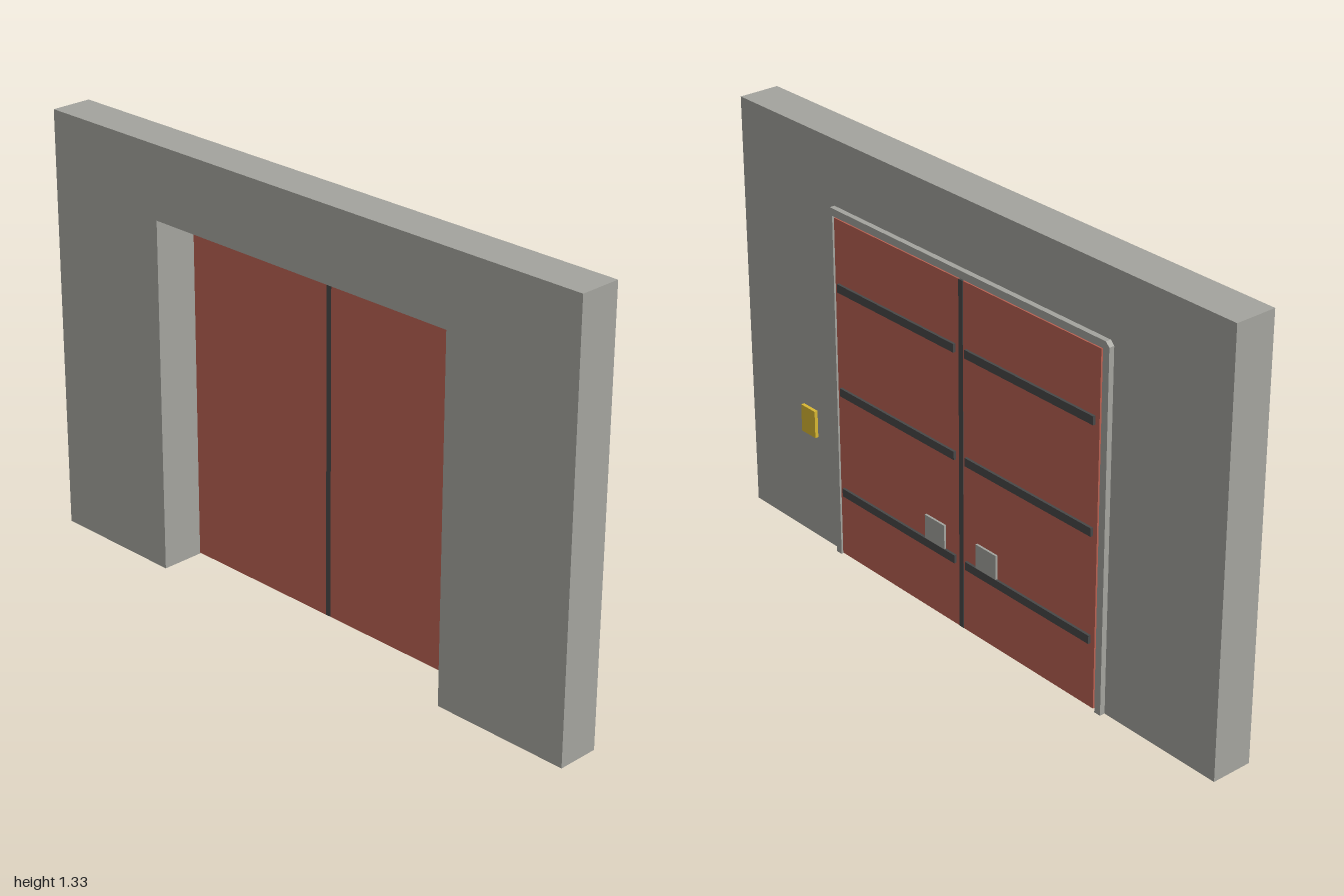
import * as THREE from 'three';

const material = (name, color) => {
  const m = new THREE.MeshStandardMaterial({ color });
  m.name = name;
  return m;
};

// Box given by its min/max extents
function slab(name, mat, [x0, x1], [y0, y1], [z0, z1]) {
  const mesh = new THREE.Mesh(new THREE.BoxGeometry(x1 - x0, y1 - y0, z1 - z0), mat);
  mesh.position.set((x0 + x1) / 2, (y0 + y1) / 2, (z0 + z1) / 2);
  mesh.name = name;
  return mesh;
}

// Flat outline in the z-y plane, extruded along +x from x0
function upright(name, mat, outline, x0, depth) {
  const shape = new THREE.Shape(outline.map(([z, y]) => new THREE.Vector2(z, y)));
  const geo = new THREE.ExtrudeGeometry(shape, { depth, bevelEnabled: false });
  geo.rotateY(Math.PI / 2).translate(x0, 0, 0);
  const mesh = new THREE.Mesh(geo, mat);
  mesh.name = name;
  return mesh;
}

export function createModel() {
  const concrete = material('concrete grey', 0xa4a49e);
  const red = material('door red', 0xb96152);
  const dark = material('dark rubber', 0x484848);
  const yellow = material('panel yellow', 0xd8b732);
  const group = new THREE.Group();
  group.name = 'slidingDoorWall';

  // Wall with a doorway open to the floor
  const half = 0.558, top = 1.107;
  const doorway = [[-half, 0], [-half, top], [half, top], [half, 0]];
  group.add(upright('wall', concrete,
    [[-1, 0], ...doorway, [1, 0], [1, 1.333], [-1, 1.333]], -0.08, 0.131));

  // Raised trim round the doorway with clipped upper corners
  const w = 0.581, t = 1.13, c = 0.013;
  group.add(upright('doorTrim', concrete,
    [[-w, 0], ...doorway, [w, 0], [w, t - c], [w - c, t], [c - w, t], [-w, t - c]], 0.051, 0.017));

  // Two mirrored door leaves with rails and handle plates
  for (const side of [1, -1]) {
    const leaf = new THREE.Group();
    leaf.name = side > 0 ? 'frontDoorLeaf' : 'rearDoorLeaf';
    const span = (a, b) => (side > 0 ? [a, b] : [-b, -a]);
    leaf.add(slab('doorPanel', red, [0.052, 0.067], [0.008, 1.103], span(0.009, 0.551)));
    for (const y of [0.225, 0.559, 0.892]) {
      leaf.add(slab('doorRail', dark, [0.067, 0.075], [y - 0.013, y + 0.013], span(0.023, 0.535)));
    }
    leaf.add(slab('handlePlate', concrete, [0.067, 0.074], [0.238, 0.315], span(0.068, 0.154)));
    group.add(leaf);
  }
  group.add(slab('centreSeal', dark, [0.052, 0.068], [0.008, 1.103], [-0.009, 0.009]));

  // Control panel beside the door
  group.add(slab('controlPanel', yellow, [0.068, 0.079], [0.36, 0.448], [0.656, 0.721]));
  return group;
}
